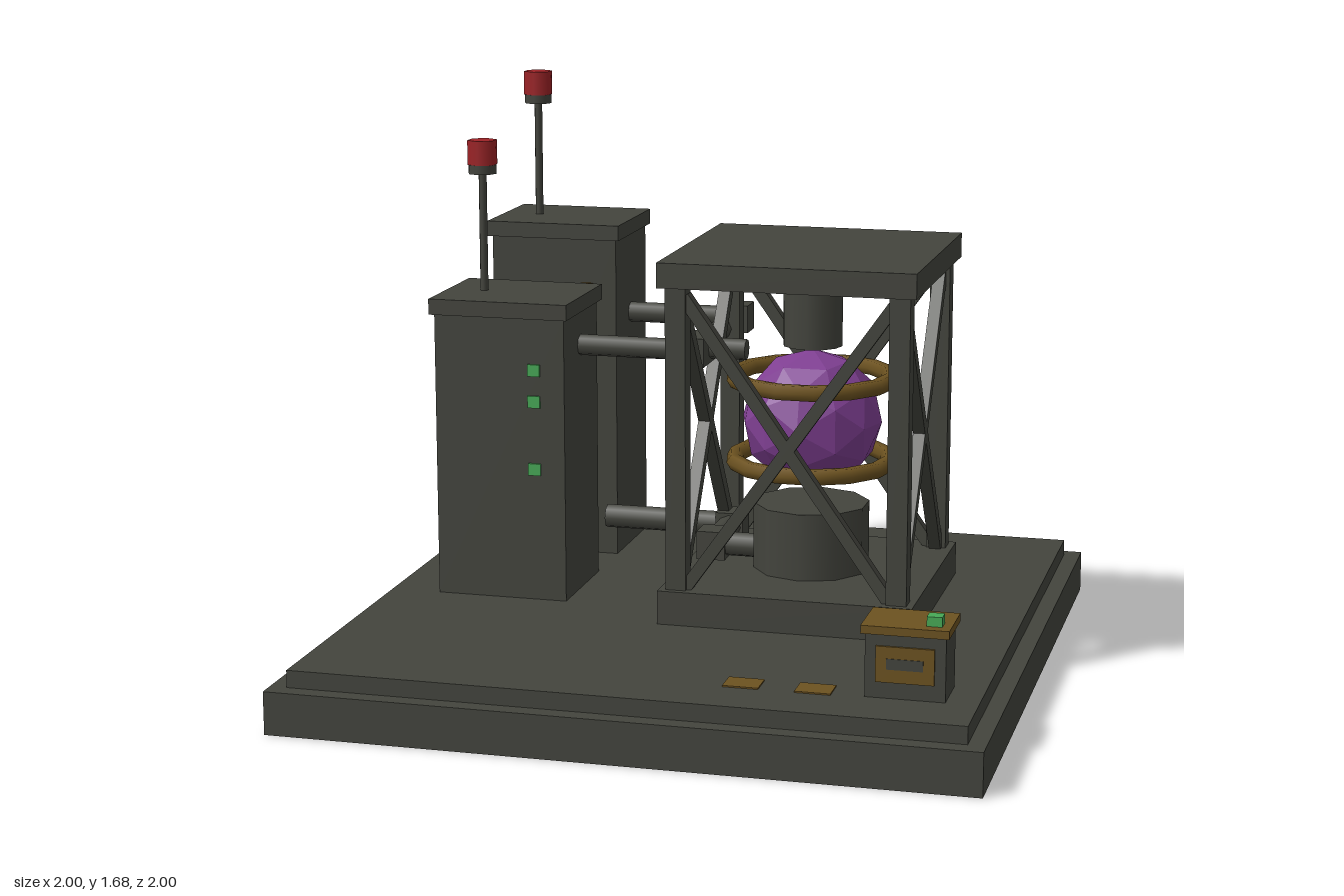
import * as THREE from 'three';

const mat = (name, color) => {
  const m = new THREE.MeshStandardMaterial({ color });
  m.name = name;
  return m;
};

export function createModel() {
  const root = new THREE.Group();
  root.name = 'reactorStation';
  const metal = mat('dark metal', 0x43443d);
  const brass = mat('brown brass', 0x6c5220);
  const purple = mat('purple core', 0x7f3f92);
  const red = mat('red lamp', 0x9e2226);
  const green = mat('green light', 0x47a856);

  const add = (parent, name, geo, material, x, y, z) => {
    const mesh = new THREE.Mesh(geo, material);
    mesh.name = name;
    mesh.position.set(x, y, z);
    parent.add(mesh);
    return mesh;
  };
  // Box given by centre x/z, bottom and top heights
  const block = (parent, name, m, x, z, w, d, y0, y1) =>
    add(parent, name, new THREE.BoxGeometry(w, y1 - y0, d), m, x, (y0 + y1) / 2, z);
  const drum = (parent, name, m, x, z, r, y0, y1, sides) =>
    add(parent, name, new THREE.CylinderGeometry(r, r, y1 - y0, sides), m, x, (y0 + y1) / 2, z);

  // Stepped base
  block(root, 'baseSlab', metal, 0, 0, 2, 2, 0, 0.125);
  block(root, 'baseStep', metal, 0, 0, 1.9, 1.9, 0.125, 0.175);

  // Towers with caps, antennas and beacon lamps
  const tower = (name, z, top, lights, lightMat) => {
    const g = new THREE.Group();
    g.name = name;
    root.add(g);
    block(g, 'towerBody', metal, -0.6, z, 0.4, 0.34, 0.175, top);
    block(g, 'towerCap', metal, -0.6, z, 0.425, 0.37, top, top + 0.047);
    drum(g, 'antennaPole', metal, -0.7, z, 0.0125, top + 0.045, top + 0.4, 8);
    drum(g, 'lampSocket', metal, -0.7, z, 0.044, top + 0.4, top + 0.427, 8);
    drum(g, 'beaconLamp', red, -0.7, z, 0.045, top + 0.427, top + 0.5, 6);
    for (const dy of lights)
      add(g, 'statusLight', new THREE.BoxGeometry(0.038, 0.036, 0.008), lightMat, -0.493, top - dy, z + 0.173);
  };
  tower('frontTower', -0.055, 1.03, [0.155, 0.25, 0.455], green);
  tower('backTower', -0.605, 1.18, [0.155], brass);

  // Reactor cage, centred on its own origin
  const cage = new THREE.Group();
  cage.name = 'reactorCage';
  cage.position.set(0.3, 0, -0.103);
  root.add(cage);
  block(cage, 'cagePlinth', metal, 0, 0, 0.75, 0.75, 0.175, 0.275);
  block(cage, 'cageRoof', metal, 0, 0, 0.75, 0.75, 1.167, 1.24);
  for (let i = 0; i < 4; i++) {
    const side = new THREE.Group();
    side.name = 'cageSide';
    side.rotation.y = (i * Math.PI) / 2;
    cage.add(side);
    block(side, 'cornerPost', metal, 0.325, 0.325, 0.06, 0.06, 0.275, 1.167);
    // Crossed braces
    for (const s of [-1, 1]) {
      const brace = add(side, 'crossBrace', new THREE.BoxGeometry(0.036, 1.06, 0.036), metal, 0, 0.705, 0.325);
      brace.rotation.z = s * Math.atan2(0.62, 0.88);
    }
  }

  // Core between pedestal and upper column
  drum(cage, 'corePedestal', metal, 0, 0, 0.173, 0.275, 0.475, 10);
  drum(cage, 'upperColumn', metal, 0, 0, 0.089, 0.95, 1.167, 12);
  const coreMat = purple;
  coreMat.flatShading = true;
  add(cage, 'reactorCore', new THREE.IcosahedronGeometry(0.21, 1), coreMat, 0, 0.728, 0);
  for (const y of [0.605, 0.853]) {
    const ring = add(cage, 'coreRing', new THREE.TorusGeometry(0.234, 0.025, 6, 14), brass, 0, y, 0);
    ring.rotation.x = Math.PI / 2;
  }

  // Pipe runs with a square joint at each bend
  const pipeRun = (name, r, points) => {
    const g = new THREE.Group();
    g.name = name;
    root.add(g);
    const p = points.map(a => new THREE.Vector3(...a));
    for (let i = 1; i < p.length; i++) {
      const dir = p[i].clone().sub(p[i - 1]);
      const mid = p[i].clone().add(p[i - 1]).multiplyScalar(0.5);
      const pipe = add(g, 'pipe', new THREE.CylinderGeometry(r, r, dir.length(), 8), metal, mid.x, mid.y, mid.z);
      pipe.quaternion.setFromUnitVectors(new THREE.Vector3(0, 1, 0), dir.normalize());
      if (i < p.length - 1)
        add(g, 'pipeJoint', new THREE.BoxGeometry(0.086, 0.086, 0.086), metal, p[i].x, p[i].y, p[i].z);
    }
  };
  for (const z of [-0.055, -0.605])
    pipeRun('upperPipe', 0.032, [[-0.41, 0.925, z], [-0.052, 0.925, z], [-0.052, 0.925, -0.103], [0.1, 0.925, -0.103]]);
  pipeRun('lowerPipe', 0.037, [[-0.4, 0.327, -0.33], [0, 0.327, -0.33], [0, 0.327, -0.103], [0.2, 0.327, -0.103]]);

  // Control console
  const desk = new THREE.Group();
  desk.name = 'console';
  root.add(desk);
  block(desk, 'consoleBody', metal, 0.75, 0.703, 0.22, 0.146, 0.175, 0.355);
  block(desk, 'consoleLid', brass, 0.75, 0.703, 0.24, 0.176, 0.355, 0.378);
  block(desk, 'consoleButton', green, 0.824, 0.737, 0.042, 0.042, 0.378, 0.405);
  add(desk, 'consolePanel', new THREE.BoxGeometry(0.16, 0.1, 0.008), brass, 0.75, 0.271, 0.779);
  add(desk, 'consoleSlot', new THREE.BoxGeometry(0.1, 0.03, 0.006), metal, 0.75, 0.273, 0.782);

  // Floor plates
  for (const x of [0.3, 0.5]) block(root, 'floorPlate', brass, x, 0.75, 0.1, 0.08, 0.175, 0.179);

  return root;
}
